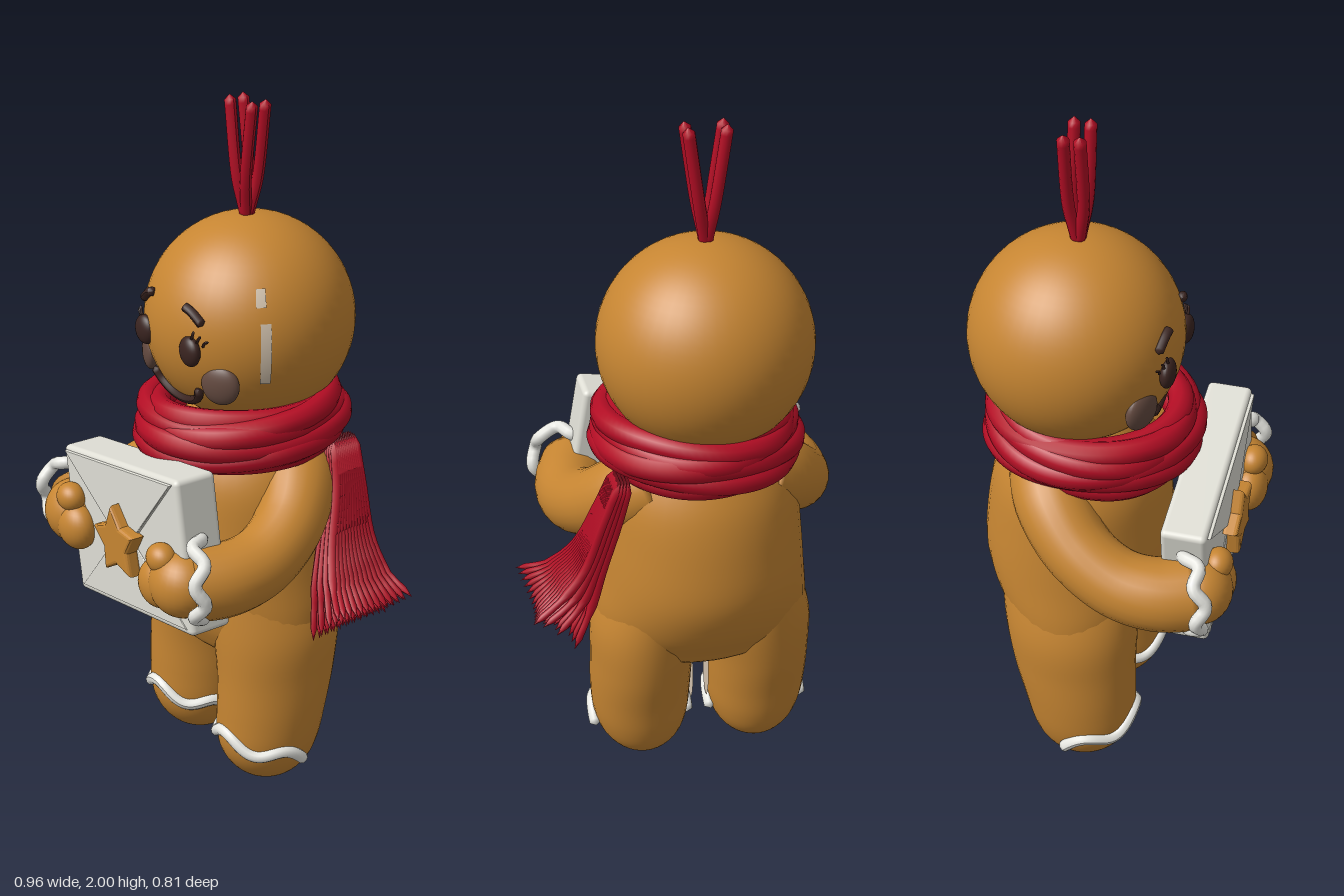
import * as THREE from 'three';
import { mergeVertices, mergeGeometries } from 'three/addons/utils/BufferGeometryUtils.js';
import { RoundedBoxGeometry } from 'three/addons/geometries/RoundedBoxGeometry.js';

const MID = -0.06; // the figure's own mirror plane
const V = (x, y, z) => new THREE.Vector3(x, y, z);
const mat = (name, color, side = THREE.FrontSide) =>
  Object.assign(new THREE.MeshStandardMaterial({ color, side }), { name });

// Smooth body from [y, centre x, centre z, radius x, radius z], listed top to bottom
function loft(sections, rings = 40, sides = 40) {
  const centre = new THREE.CatmullRomCurve3(sections.map(s => V(s[1], s[0], s[2])), false, 'catmullrom');
  const radius = new THREE.CatmullRomCurve3(sections.map(s => V(s[3], 0, s[4])), false, 'catmullrom');
  const g = new THREE.CylinderGeometry(1, 1, 1, sides, rings, true);
  const p = g.attributes.position;
  for (let i = 0; i < p.count; i++) {
    const t = THREE.MathUtils.clamp(0.5 - p.getY(i), 0, 1);
    const c = centre.getPoint(t), r = radius.getPoint(t);
    p.setXYZ(i, c.x + p.getX(i) * r.x, c.y, c.z + p.getZ(i) * r.z);
  }
  g.deleteAttribute('uv');
  g.deleteAttribute('normal');
  const m = mergeVertices(g, 1e-5);
  m.computeVertexNormals();
  return m;
}

// Tube with rounded ends, following points; taper(t) scales the radius
function strand(points, radius, steps = 20, sides = 8, closed = false, taper = () => 1) {
  const curve = new THREE.CatmullRomCurve3(points, closed);
  const g = new THREE.TubeGeometry(curve, steps, radius, sides, closed);
  if (closed) return g;
  const p = g.attributes.position, v = V(0, 0, 0);
  for (let i = 0; i < p.count; i++) {
    const ring = Math.floor(i / (sides + 1)), t = ring / steps;
    const c = curve.getPointAt(t);
    const k = ring === 0 || ring === steps ? 0.001 : taper(t);
    v.fromBufferAttribute(p, i).sub(c).multiplyScalar(k).add(c);
    p.setXYZ(i, v.x, v.y, v.z);
  }
  g.computeVertexNormals();
  return g;
}

export function createModel() {
  const root = new THREE.Group();
  const dough = mat('gingerbread', 0xc68532);
  const red = mat('red wool', 0xb30d24);
  const white = mat('icing white', 0xe6e6e0);
  const paper = mat('envelope paper', 0xdfded5);
  const dark = mat('dark chocolate', 0x3a2420);
  const blush = mat('cocoa cheek', 0x644a40);
  const shine = mat('pale glaze', 0xd3c3ae, THREE.DoubleSide);
  const add = (name, geometry, material, parent = root) => {
    const m = new THREE.Mesh(geometry, material);
    m.name = name;
    parent.add(m);
    return m;
  };
  const ball = (name, pos, scale, material) => {
    const m = add(name, new THREE.SphereGeometry(1, 28, 20), material);
    m.position.copy(pos);
    m.scale.set(...scale);
    return m;
  };

  // Head and torso
  const HEAD = V(-0.063, 1.385, -0.11), HR = 0.295;
  const onHead = (x, y, out = 0) =>
    V(x, y, HEAD.z + out + Math.sqrt(Math.max(0, HR * HR - (x - HEAD.x) ** 2 - (y - HEAD.y) ** 2)));
  add('head', new THREE.SphereGeometry(HR, 48, 36), dough).position.copy(HEAD);
  add('torso', loft([
    [1.16, MID, -0.1, 0.13, 0.14], [1.05, MID, -0.1, 0.22, 0.2], [0.95, MID, -0.1, 0.265, 0.245],
    [0.82, MID, -0.105, 0.28, 0.265], [0.68, MID, -0.105, 0.293, 0.272], [0.56, MID, -0.095, 0.307, 0.245],
    [0.47, MID, -0.085, 0.3, 0.2], [0.41, MID, -0.085, 0.23, 0.15], [0.375, MID, -0.085, 0.001, 0.001],
  ]), dough);

  for (const s of [1, -1]) {
    const side = s > 0 ? 'left' : 'right';
    const P = (dx, y, z) => V(MID + s * dx, y, z);

    // Leg
    add(side + 'Leg', loft([
      [0.66, 0.15, -0.1, 0.12, 0.2], [0.5, 0.165, -0.09, 0.155, 0.195], [0.36, 0.176, -0.08, 0.15, 0.182],
      [0.24, 0.178, -0.065, 0.148, 0.168], [0.14, 0.176, -0.055, 0.14, 0.155], [0.07, 0.174, -0.055, 0.115, 0.125],
      [0.02, 0.173, -0.057, 0.067, 0.073], [0, 0.173, -0.06, 0.001, 0.001],
    ].map(([y, dx, ...r]) => [y, MID + s * dx, ...r])), dough);

    // Wavy icing around the front of the ankle
    const wave = [];
    for (let i = 0; i <= 28; i++) {
      const a = -1.75 + i * 0.125;
      wave.push(P(0.177 + Math.sin(a) * 0.142, 0.175 + 0.02 * Math.cos(4.5 * a) - 0.023 * a * a, -0.055 + Math.cos(a) * 0.157));
    }
    add(side + 'AnkleIcing', strand(wave, 0.018, 60, 10), white);

    // Glaze patch on the inner leg
    const glaze = add(side + 'LegGlaze', new THREE.CircleGeometry(1, 24), shine);
    glaze.scale.set(0.035, 0.095, 1);
    glaze.position.copy(P(0.024, 0.25, -0.07));
    glaze.rotation.y = -s * Math.PI / 2;

    // Arm, hand, thumb and fingers
    add(side + 'Arm', strand(
      [P(0.12, 1.0, -0.16), P(0.21, 0.95, -0.12), P(0.29, 0.87, -0.03), P(0.328, 0.81, 0.09), P(0.325, 0.79, 0.2), P(0.285, 0.79, 0.31)],
      0.105, 36, 24, false, t => 1.08 - 0.12 * Math.sin(Math.PI * t) ** 2 - 0.08 * t), dough);
    ball(side + 'Hand', P(0.275, 0.79, 0.31), [0.1, 0.095, 0.09], dough);
    ball(side + 'Fingers', P(0.215, 0.775, 0.345), [0.072, 0.07, 0.052], dough);
    ball(side + 'Thumb', P(0.235, 0.86, 0.35), [0.048, 0.042, 0.04], dough);

    // Wavy icing cuff
    const cuff = [];
    for (let i = 0; i < 36; i++) {
      const a = (i / 36) * Math.PI * 2, w = 0.014 * Math.sin(6 * a);
      cuff.push(P(0.32 + 0.088 * Math.cos(a) - 0.5 * w, 0.815 + 0.108 * Math.sin(a), 0.292 + 0.05 * Math.cos(a) + 0.85 * w));
    }
    add(side + 'CuffIcing', strand(cuff, 0.019, 72, 10, true), white);

    // Eye with lashes, brow and cheek
    ball(side + 'Eye', onHead(MID + s * 0.107, 1.37, 0.003), [0.04, 0.042, 0.022], dark);
    const lashes = [0, 1, 2].map(i => {
      const x = 0.115 + i * 0.016, y = 1.405 - i * 0.008;
      return strand([onHead(MID + s * x, y, 0.008), onHead(MID + s * (x + 0.008), y + 0.015, 0.014),
        onHead(MID + s * (x + 0.012 + i * 0.004), y + 0.03 - i * 0.004, 0.016)], 0.004, 6, 6);
    });
    add(side + 'Lashes', mergeGeometries(lashes), dark);
    add(side + 'Brow', strand([0.072, 0.1, 0.14].map((x, i) =>
      onHead(MID + s * x, [1.488, 1.478, 1.448][i], 0.006)), 0.013, 12, 10), dark);
    const cheek = ball(side + 'Cheek', onHead(MID + s * 0.168, 1.28, 0.003), [0.056, 0.056, 0.024], blush);
    cheek.rotation.y = s * 0.5;
  }

  // Smile, button and head glaze
  add('smile', strand([[-0.108, 1.255], [-0.085, 1.22], [-0.045, 1.2], [0, 1.194], [0.045, 1.2], [0.085, 1.22], [0.108, 1.255]]
    .map(([x, y]) => onHead(MID + x, y, 0.008)), 0.0125, 30, 10), dark);
  ball('button', V(-0.045, 0.55, 0.155), [0.03, 0.03, 0.026], dark);
  for (const [y0, y1, z] of [[1.29, 1.46, 0.025], [1.5, 1.545, 0.035]]) {
    const th = y => Math.acos((y - HEAD.y) / HR);
    const phi = Math.PI - Math.asin((z - HEAD.z) / HR);
    add('headGlaze', new THREE.SphereGeometry(HR + 0.003, 4, 10, phi - 0.05, 0.1, th(y1), th(y0) - th(y1)), shine)
      .position.copy(HEAD);
  }

  // Scarf wound from loose strands
  const winds = [];
  [[1.055, 0.24], [1.075, 0.258], [1.105, 0.262], [1.13, 0.252], [1.155, 0.245], [1.165, 0.225]].forEach(([y, r], k) => {
    const pts = [];
    for (let i = 0; i < 32; i++) {
      const a = (i / 32) * Math.PI * 2;
      const w = r + 0.007 * Math.sin(3 * a + k * 1.9);
      pts.push(V(-0.045 + w * Math.cos(a), y + 0.009 * Math.sin(2 * a + k * 2.3) + 0.01 * Math.cos(a) - 0.012 * Math.sin(a),
        -0.07 + w * 1.05 * Math.sin(a)));
    }
    winds.push(strand(pts, 0.036, 80, 10, true));
  });
  add('scarfWrap', mergeGeometries(winds), red);

  // Hanging scarf tail ending in a fringe
  const tail = [];
  for (let i = 0; i < 13; i++) {
    for (let j = 0; j < 4; j++) {
      const u = i / 6 - 1, v = (j - 1.5) / 1.5, n = Math.sin(i * 12.9 + j * 7.3);
      tail.push(strand([
        V(0.195 + 0.012 * v, 1.08, -0.24 + 0.035 * u), V(0.235 + 0.02 * v, 0.95, -0.225 + 0.045 * u),
        V(0.285 + 0.025 * v, 0.8, -0.195 + 0.07 * u), V(0.335 + 0.04 * v, 0.7 + 0.02 * v, -0.175 + 0.095 * u),
        V(0.405 + 0.055 * v + 0.012 * n, 0.615 + 0.05 * v + 0.018 * n, -0.165 + 0.13 * u + 0.01 * n),
      ], 0.014, 16, 6, false, t => t > 0.8 ? 0.7 : 1));
    }
  }
  add('scarfTail', mergeGeometries(tail), red);

  // Hanging cord of doubled strands
  const cord = [];
  for (const s of [1, -1]) for (const d of [1, -1]) {
    cord.push(strand([V(-0.065, 1.66, -0.1), V(-0.064 + s * 0.008, 1.71, -0.1 + d * 0.009),
      V(-0.063 + s * 0.02, 1.78, -0.1 + d * 0.02), V(-0.063 + s * 0.052, 2, -0.1 + d * 0.022)], 0.0165, 24, 10));
  }
  add('hangingCord', mergeGeometries(cord), red);

  // Envelope with folds and a star seal
  const envelope = new THREE.Group();
  envelope.name = 'envelope';
  envelope.position.set(-0.04, 0.825, 0.264);
  envelope.rotation.z = 0.172;
  root.add(envelope);
  add('envelopeBody', new RoundedBoxGeometry(0.59, 0.44, 0.128, 3, 0.016), paper, envelope);
  const plate = (name, pts, depth, bevel, z, material) =>
    add(name, new THREE.ExtrudeGeometry(new THREE.Shape(pts.map(p => new THREE.Vector2(...p))),
      { depth, bevelEnabled: true, bevelSize: bevel, bevelThickness: bevel, bevelSegments: 3 }), material, envelope)
      .position.z = z;
  plate('lowerFold', [[-0.27, -0.2], [0.27, -0.2], [0, 0.03]], 0.003, 0.003, 0.061, paper);
  plate('topFlap', [[-0.27, 0.205], [0, -0.03], [0.27, 0.205]], 0.006, 0.005, 0.062, paper);
  const star = [];
  for (let i = 0; i < 10; i++) {
    const a = Math.PI / 2 + i * Math.PI / 5, r = i % 2 ? 0.05 : 0.092;
    star.push([Math.cos(a) * r, Math.sin(a) * r - 0.005]);
  }
  plate('starSeal', star, 0.022, 0.012, 0.072, dough);

  return root;
}
